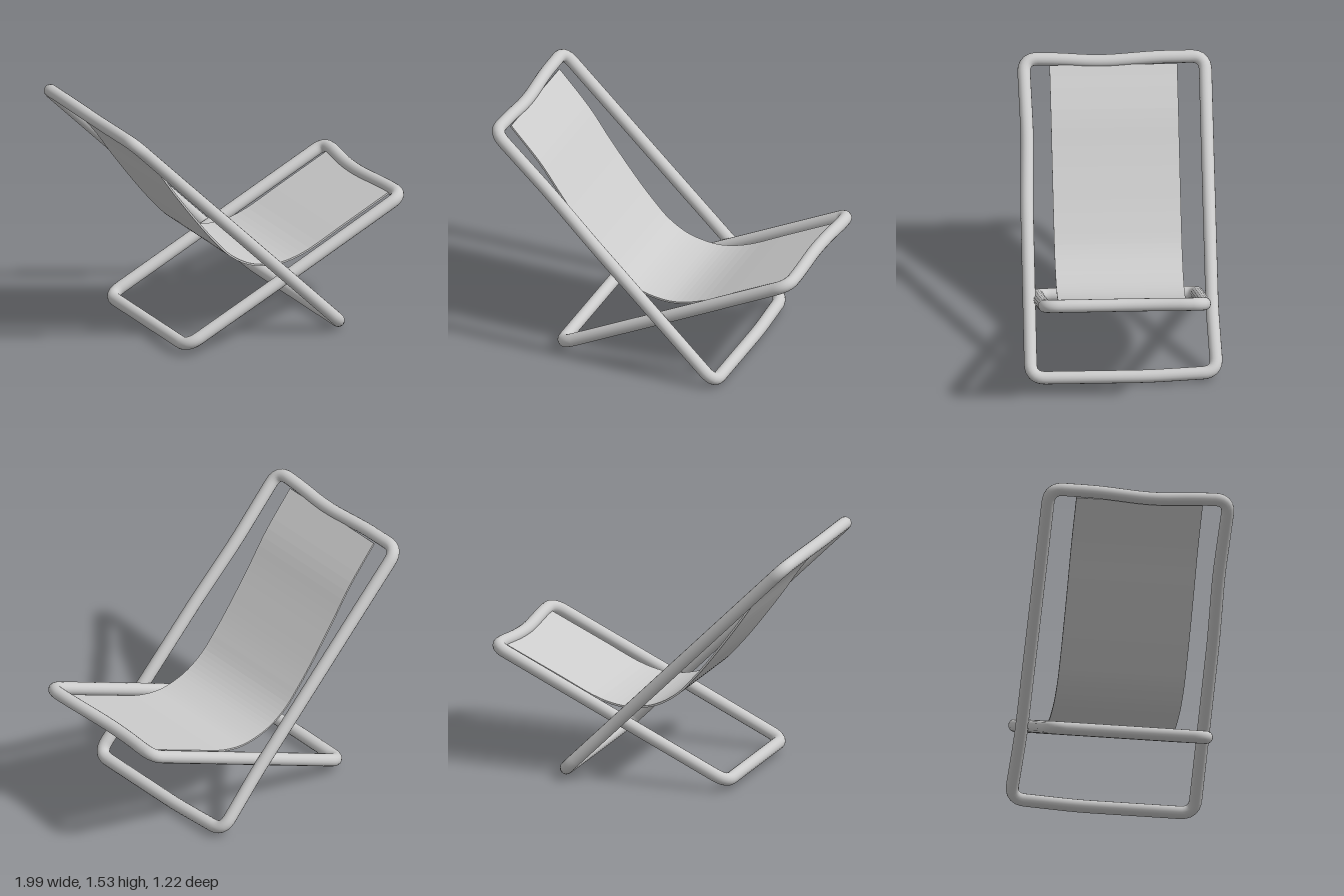
import * as THREE from 'three';

const TUBE = 0.04;

// Closed tube through a polygon of [u, z, rounding]; u runs along the slope from a to b.
function tubeFrame(name, a, b, corners, material) {
  const pts = corners.map(([u, z]) =>
    new THREE.Vector3(a[0] + (b[0] - a[0]) * u, a[1] + (b[1] - a[1]) * u, z));
  const n = pts.length;
  const toward = (p, q, d) => p.clone().add(q.clone().sub(p).setLength(d));
  const bends = pts.map((p, i) => new THREE.QuadraticBezierCurve3(
    toward(p, pts[(i + n - 1) % n], corners[i][2]), p, toward(p, pts[(i + 1) % n], corners[i][2])));
  const path = new THREE.CurvePath();
  bends.forEach((bend, i) => {
    path.add(bend);
    path.add(new THREE.LineCurve3(bend.v2, bends[(i + 1) % n].v0));
  });
  const mesh = new THREE.Mesh(new THREE.TubeGeometry(path, 280, TUBE, 16, true), material);
  mesh.name = name;
  return mesh;
}

// Thin sling swept across the chair from a sagging side profile.
function slingGeometry() {
  const curve = new THREE.CatmullRomCurve3([
    [-0.92, 1.46], [-0.72, 1.23], [-0.58, 1.03], [-0.4, 0.79], [-0.3, 0.67], [-0.2, 0.565],
    [-0.08, 0.488], [0.04, 0.453], [0.16, 0.445], [0.32, 0.48], [0.6, 0.608], [0.92, 0.757],
  ].map(([x, y]) => new THREE.Vector3(x, y, 0)), false, 'centripetal');
  const upper = [], lower = [];
  for (let i = 0; i <= 48; i++) {
    const p = curve.getPoint(i / 48), t = curve.getTangent(i / 48);
    upper.push(new THREE.Vector2(p.x - t.y * 0.006, p.y + t.x * 0.006));
    lower.unshift(new THREE.Vector2(p.x + t.y * 0.006, p.y - t.x * 0.006));
  }
  const geo = new THREE.ExtrudeGeometry(new THREE.Shape([...lower, ...upper]),
    { depth: 0.784, bevelEnabled: false });
  // The cloth is pulled slightly off-square.
  const pos = geo.attributes.position;
  for (let i = 0; i < pos.count; i++) {
    pos.setZ(i, pos.getZ(i) - 0.384 + 0.008 * (0.1 - pos.getX(i)));
  }
  geo.computeVertexNormals();
  return geo;
}

export function createModel() {
  const group = new THREE.Group();
  group.name = 'deckChair';
  const frameMat = new THREE.MeshStandardMaterial({ color: 0xcccccc });
  const clothMat = new THREE.MeshStandardMaterial({ color: 0xcccccc, side: THREE.DoubleSide });

  // Tall frame: top rail, long sides and floor rail, all slightly bent
  group.add(tubeFrame('backFrame', [-0.96, 1.49], [0.495, 0.04], [
    [0, 0.568, 0.09], [0.24, 0.555, 0.1], [0.45, 0.568, 0.1], [1, 0.57, 0.09],
    [1, -0.15, 0.1], [0.99, -0.573, 0.09], [0.79, -0.553, 0.08], [0.25, -0.549, 0.1],
    [0, -0.548, 0.09], [0.001, -0.25, 0.08], [0.013, 0.1, 0.12], [0.003, 0.36, 0.08],
  ], frameMat));

  // Low frame: front rail dented toward the middle
  group.add(tubeFrame('seatFrame', [-0.555, 0.065], [0.955, 0.775], [
    [0, 0.497, 0.09], [0.5, 0.502, 0.1], [1, 0.498, 0.09], [0.998, 0.33, 0.06],
    [0.976, -0.09, 0.18], [0.999, -0.37, 0.03], [1, -0.482, 0.07], [0, -0.482, 0.09],
  ], frameMat));

  const sling = new THREE.Mesh(slingGeometry(), clothMat);
  sling.name = 'fabricSling';
  group.add(sling);
  return group;
}
